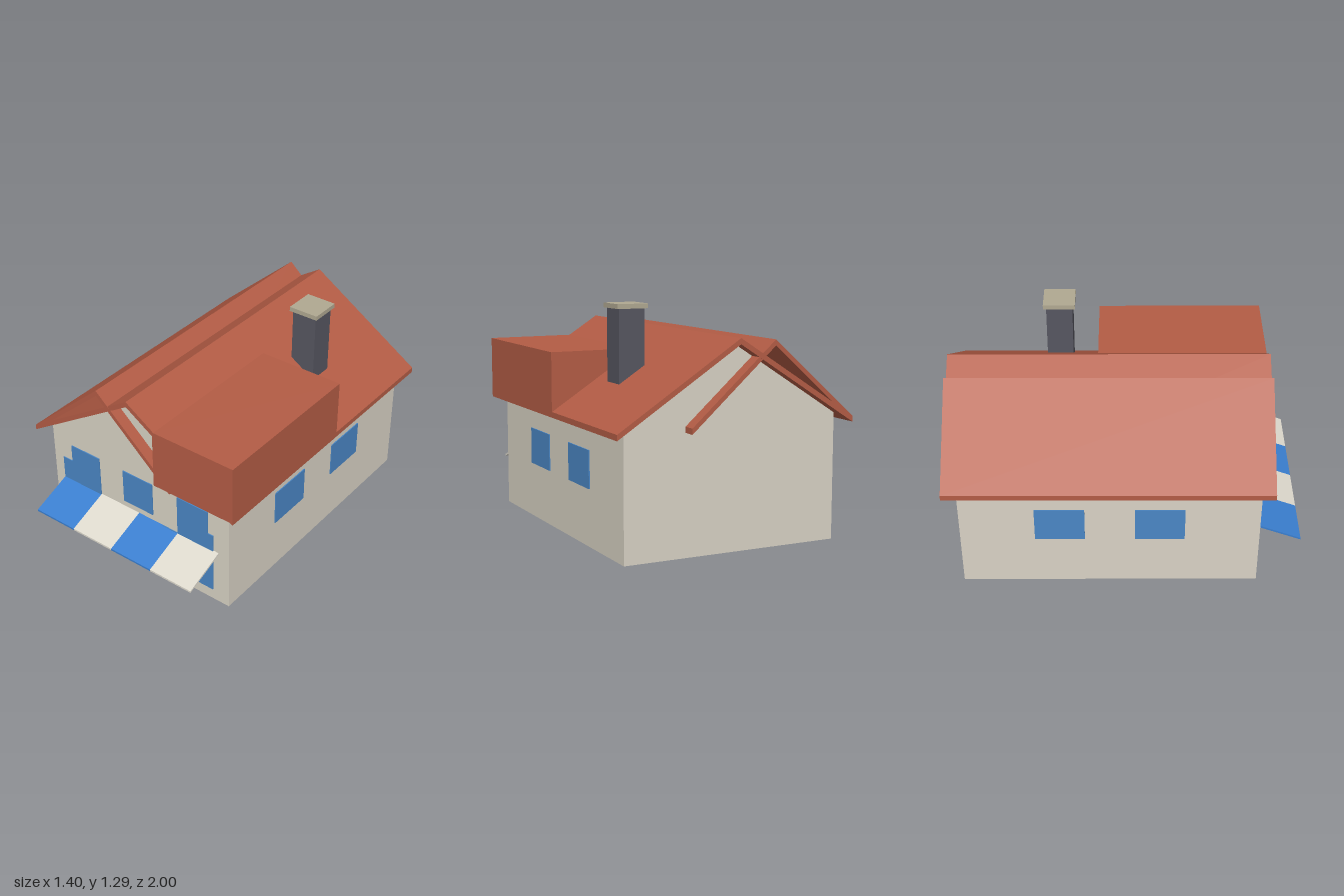
import * as THREE from 'three';

const mat = (color) => new THREE.MeshStandardMaterial({ color, flatShading: true });

export function createModel() {
  const house = new THREE.Group();
  house.name = 'house';
  const wall = mat(0xd8d2c4), tile = mat(0xb35c45), glass = mat(0x4a86c4),
    dark = mat(0x565660), stone = mat(0xb0a891), blue = mat(0x3a7fd0), cream = mat(0xdedace);

  const add = (name, geometry, material) => {
    const mesh = new THREE.Mesh(geometry, material);
    mesh.name = name;
    house.add(mesh);
    return mesh;
  };
  // box given by its lower and upper limits on each axis
  const box = (name, material, [x0, x1], [y0, y1], [z0, z1]) => {
    const mesh = add(name, new THREE.BoxGeometry(x1 - x0, y1 - y0, z1 - z0), material);
    mesh.position.set((x0 + x1) / 2, (y0 + y1) / 2, (z0 + z1) / 2);
    return mesh;
  };
  // outline in x and y, carried from z0 to z1
  const prism = (name, material, points, z0, z1) => {
    const shape = new THREE.Shape(points.map(([x, y]) => new THREE.Vector2(x, y)));
    const geometry = new THREE.ExtrudeGeometry(shape, { depth: z1 - z0, bevelEnabled: false });
    return add(name, geometry.translate(0, 0, z0), material);
  };

  // walls with a gable at each end
  prism('walls', wall, [[-0.63, 0], [0.63, 0], [0.63, 0.703], [0, 1.104], [-0.63, 0.703]], -0.925, 0.755);

  // two crossing roofs, each a folded sheet
  const roof = (name, ridgeX, ridgeY, half, z0, z1) => {
    const t = 0.032, eave = 0.69;
    prism(name, tile, [
      [ridgeX - half, eave], [ridgeX - half, eave - t], [ridgeX, ridgeY - t],
      [ridgeX + half, eave - t], [ridgeX + half, eave], [ridgeX, ridgeY],
    ], z0, z1);
  };
  roof('mainRoof', 0, 1.137, 0.7, -1, 0.82);
  roof('offsetRoof', -0.21, 1.122, 0.49, -0.999, 0.821);

  // flat dormer block
  box('dormer', tile, [0.175, 0.701], [0.67, 1.02], [-0.155, 0.822]);

  // chimney
  box('chimney', dark, [0.28, 0.432], [0.78, 1.266], [-0.453, -0.302]);
  box('chimneyCap', stone, [0.266, 0.446], [1.266, 1.292], [-0.47, -0.287]);

  // front windows: x limits, y limits
  const frontPanes = [
    [[-0.49, -0.28], [0.28, 0.6]], [[-0.56, -0.49], [0.28, 0.49]],
    [[-0.105, 0.105], [0.39, 0.6]],
    [[0.28, 0.49], [0.35, 0.6]], [[0.49, 0.525], [0.35, 0.455]],
    [[-0.525, -0.28], [0.07, 0.28]], [[0.175, 0.525], [0.07, 0.35]],
  ];
  for (const [x, y] of frontPanes) box('frontWindow', glass, x, y, [0.75, 0.761]);

  // side windows, mirrored
  for (const s of [-1, 1]) {
    for (const z of [[0.055, 0.335], [-0.505, -0.225]]) {
      const pane = box('sideWindow', glass, [0.625, 0.636], [0.318, 0.528], z);
      pane.position.x *= s;
    }
  }

  // door and step beside it
  box('door', dark, [-0.28, 0.105], [0, 0.34], [0.75, 0.761]);
  box('doorStep', dark, [-0.315, -0.28], [0, 0.105], [0.75, 0.761]);

  // sloping striped awning
  for (let i = 0; i < 4; i++) {
    const shape = new THREE.Shape([[0.755, 0.338], [1, 0.243], [1, 0.254], [0.755, 0.35]]
      .map(([z, y]) => new THREE.Vector2(-z, y)));
    const geometry = new THREE.ExtrudeGeometry(shape, { depth: 0.28, bevelEnabled: false });
    geometry.rotateY(Math.PI / 2).translate(-0.56 + i * 0.28, 0, 0);
    add('awningStripe', geometry, i % 2 ? cream : blue);
  }
  return house;
}
